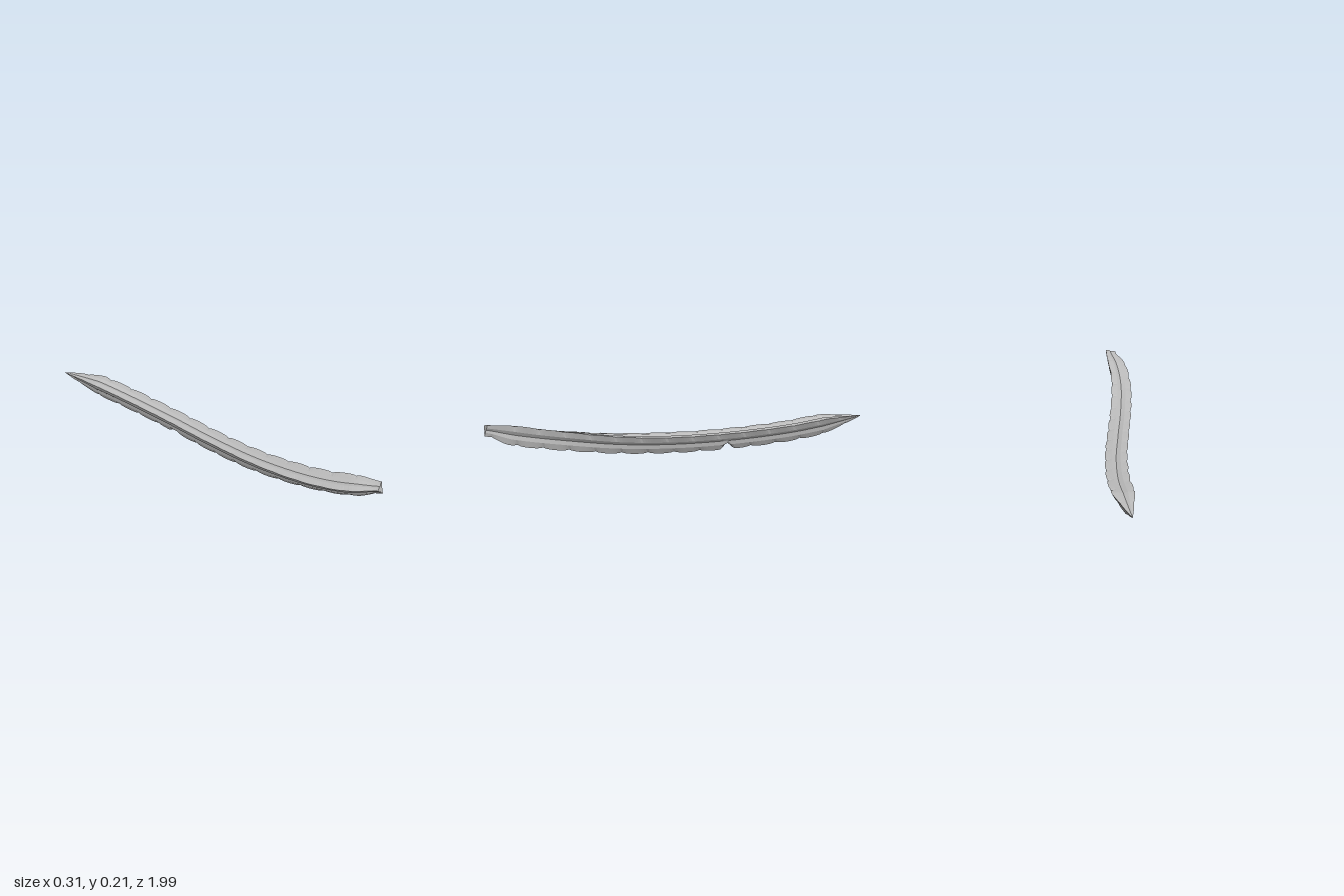
import * as THREE from 'three';

const RINGS = 150;
const SCALLOPS = 15;

// Gently bowed centre line, from the pointed tip to the cut end.
const spine = new THREE.CatmullRomCurve3([
  [-0.153, 0.148, -1], [-0.1, 0.131, -0.8], [-0.057, 0.108, -0.6], [-0.02, 0.086, -0.3], [-0.004, 0.075, 0],
  [0.01, 0.083, 0.3], [0.036, 0.117, 0.6], [0.074, 0.152, 0.8], [0.131, 0.199, 0.982],
].map((p) => new THREE.Vector3(...p)));

// Overall thickness along the stem: sharp tip, slightly narrowed cut end.
function thickness(z) {
  const tip = THREE.MathUtils.clamp((z + 1) / 0.22, 0.02, 1);
  const end = 1 - 0.42 * THREE.MathUtils.smoothstep(z, 0.84, 0.98);
  return Math.pow(tip, 0.85) * end;
}

// Radius of the rib crest: rounded scallops, and one nick in the lower rib.
function crest(rib, t, z) {
  const bump = Math.abs(Math.sin(Math.PI * (t * SCALLOPS + rib * 0.15)));
  const nick = rib === 2 ? 0.032 * Math.max(0, 1 - Math.abs(z + 0.26) / 0.035) : 0;
  return 0.057 + 0.009 * Math.sqrt(bump) - nick;
}

// Three-ribbed cross-section: crest, shoulder, groove, shoulder for each rib.
function ring(t) {
  const c = spine.getPointAt(t);
  const tangent = spine.getTangentAt(t);
  const right = new THREE.Vector3(0, 1, 0).cross(tangent).normalize();
  const up = tangent.clone().cross(right);
  const s = thickness(c.z);
  const roll = 0.3 * THREE.MathUtils.smoothstep(c.z, 0, 0.9);
  const points = [];
  for (let rib = 0; rib < 3; rib++) {
    const a = Math.PI / 6 + rib * Math.PI * 2 / 3 + roll;
    const r = crest(rib, t, c.z);
    const shoulder = Math.min(0.04, r);
    for (const [da, rad] of [[0, r], [0.47, shoulder], [Math.PI / 3, 0.026], [Math.PI * 2 / 3 - 0.47, 0.04]]) {
      points.push(c.clone()
        .addScaledVector(right, Math.cos(a + da) * rad * s)
        .addScaledVector(up, Math.sin(a + da) * rad * s));
    }
  }
  return points;
}

export function createModel() {
  const group = new THREE.Group();
  group.name = 'ribbedStem';
  const grey = new THREE.MeshStandardMaterial({ color: 0xbcbcbc, flatShading: true });
  grey.name = 'grey';

  const positions = [];
  const index = [];
  const n = 12;
  for (let i = 0; i <= RINGS; i++) {
    for (const p of ring(i / RINGS)) positions.push(p.x, p.y, p.z);
  }
  for (let i = 0; i < RINGS; i++) {
    for (let j = 0; j < n; j++) {
      const a = i * n + j, b = i * n + (j + 1) % n;
      index.push(a, b, b + n, a, b + n, a + n);
    }
  }

  // Close the tip and the cut end.
  const tip = spine.getPointAt(0), end = spine.getPointAt(1);
  const tipId = positions.length / 3;
  positions.push(tip.x, tip.y, tip.z, end.x, end.y, end.z);
  for (let j = 0; j < n; j++) {
    const k = (j + 1) % n;
    index.push(tipId, k, j, tipId + 1, RINGS * n + j, RINGS * n + k);
  }

  const geometry = new THREE.BufferGeometry();
  geometry.setAttribute('position', new THREE.Float32BufferAttribute(positions, 3));
  geometry.setIndex(index);
  geometry.computeVertexNormals();
  const stem = new THREE.Mesh(geometry, grey);
  stem.name = 'stem';
  group.add(stem);
  return group;
}
